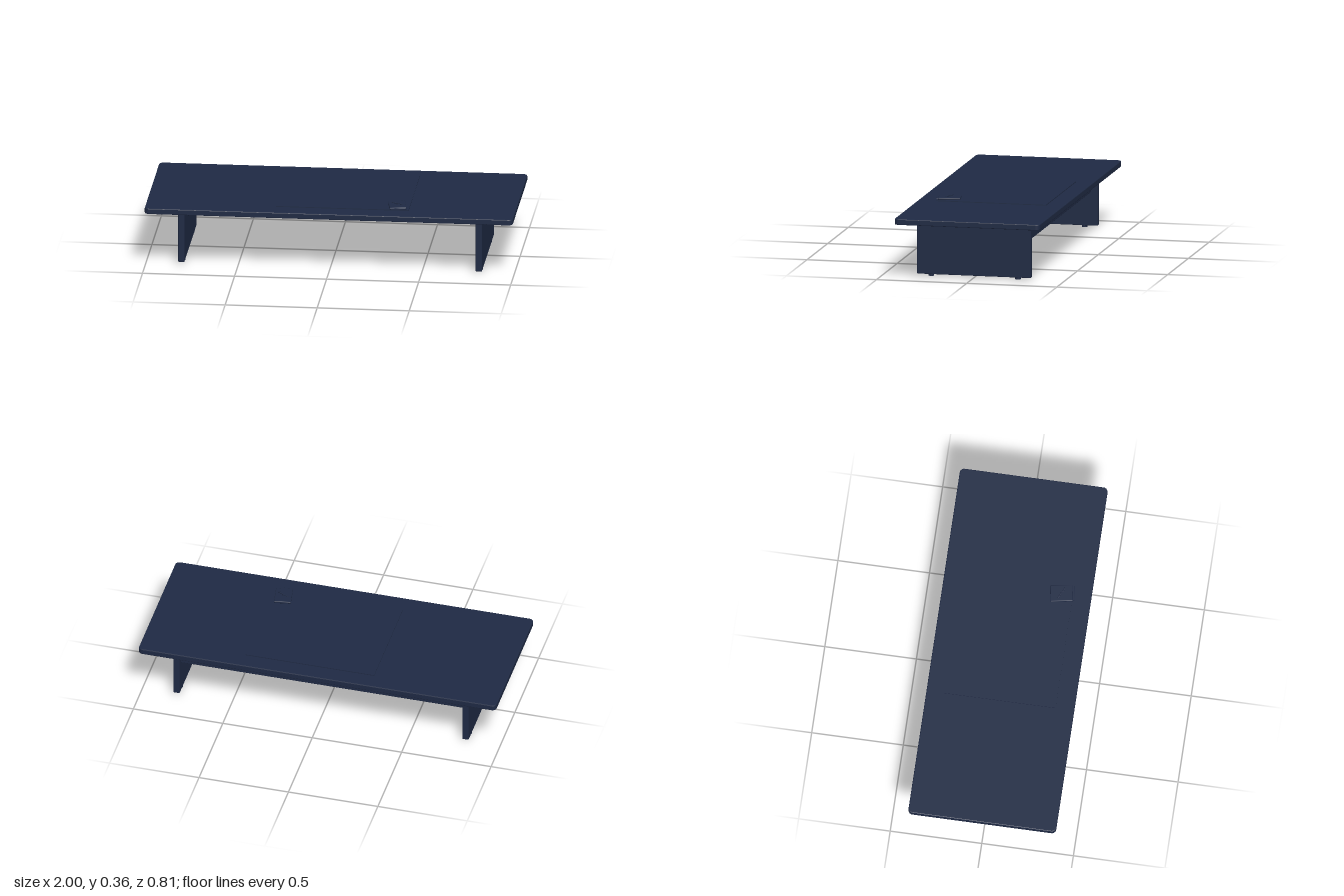
import * as THREE from 'three';
import { RoundedBoxGeometry } from 'three/addons/geometries/RoundedBoxGeometry.js';

const navy = new THREE.MeshStandardMaterial({ color: 0x1f2a44 });
navy.name = 'navy';

function add(parent, name, geometry, x, y, z) {
  const mesh = new THREE.Mesh(geometry, navy);
  mesh.name = name;
  mesh.position.set(x, y, z);
  parent.add(mesh);
  return mesh;
}

const box = (w, h, d, r) => new RoundedBoxGeometry(w, h, d, 2, r);

// Slab with rounded plan corners and softened edges, base at y = 0
function slab(w, h, d, r, bevel) {
  const x = w / 2 - bevel, y = d / 2 - bevel;
  const s = new THREE.Shape();
  s.moveTo(-x + r, -y);
  s.lineTo(x - r, -y);
  s.absarc(x - r, -y + r, r, -Math.PI / 2, 0);
  s.absarc(x - r, y - r, r, 0, Math.PI / 2);
  s.absarc(-x + r, y - r, r, Math.PI / 2, Math.PI);
  s.absarc(-x + r, -y + r, r, Math.PI, Math.PI * 1.5);
  const g = new THREE.ExtrudeGeometry(s, {
    depth: h - 2 * bevel, bevelEnabled: true, bevelSize: bevel,
    bevelThickness: bevel, bevelSegments: 2, curveSegments: 6,
  });
  g.rotateX(-Math.PI / 2);
  g.translate(0, bevel, 0);
  return g;
}

export function createModel() {
  const table = new THREE.Group();
  table.name = 'lowTable';

  add(table, 'tabletop', slab(2, 0.032, 0.806, 0.02, 0.004), 0, 0.305, 0);

  // Panel legs, each on two small round feet
  for (const side of [-1, 1]) {
    const leg = new THREE.Group();
    leg.name = side > 0 ? 'leftLeg' : 'rightLeg';
    leg.position.x = side * 0.808;
    table.add(leg);
    add(leg, 'legPanel', box(0.034, 0.296, 0.63, 0.003), 0, 0.158, 0);
    for (const z of [-0.24, 0.24]) {
      add(leg, 'foot', new THREE.CylinderGeometry(0.016, 0.016, 0.012, 16), 0, 0.006, z);
    }
  }

  // Rear stretcher between the legs
  add(table, 'stretcher', box(1.59, 0.064, 0.03, 0.003), 0, 0.226, -0.265);

  // Thin mat lying on the top
  add(table, 'mat', new THREE.BoxGeometry(0.72, 0.005, 0.61), 0.065, 0.339, -0.003);

  // Small turned case with a front tab and a clasp
  const pouch = new THREE.Group();
  pouch.name = 'smallCase';
  pouch.position.set(0.358, 0.341, 0.241);
  pouch.rotation.y = 0.16;
  table.add(pouch);
  add(pouch, 'caseBody', box(0.092, 0.013, 0.122, 0.004), 0, 0.0065, 0);
  add(pouch, 'caseTab', box(0.085, 0.008, 0.012, 0.002), 0, 0.006, 0.064);
  add(pouch, 'claspStem', new THREE.CylinderGeometry(0.005, 0.005, 0.006, 12), 0, 0.015, 0);
  const bar = add(pouch, 'claspBar', box(0.07, 0.005, 0.008, 0.002), 0, 0.0185, 0);
  bar.rotation.y = -0.6;

  return table;
}
